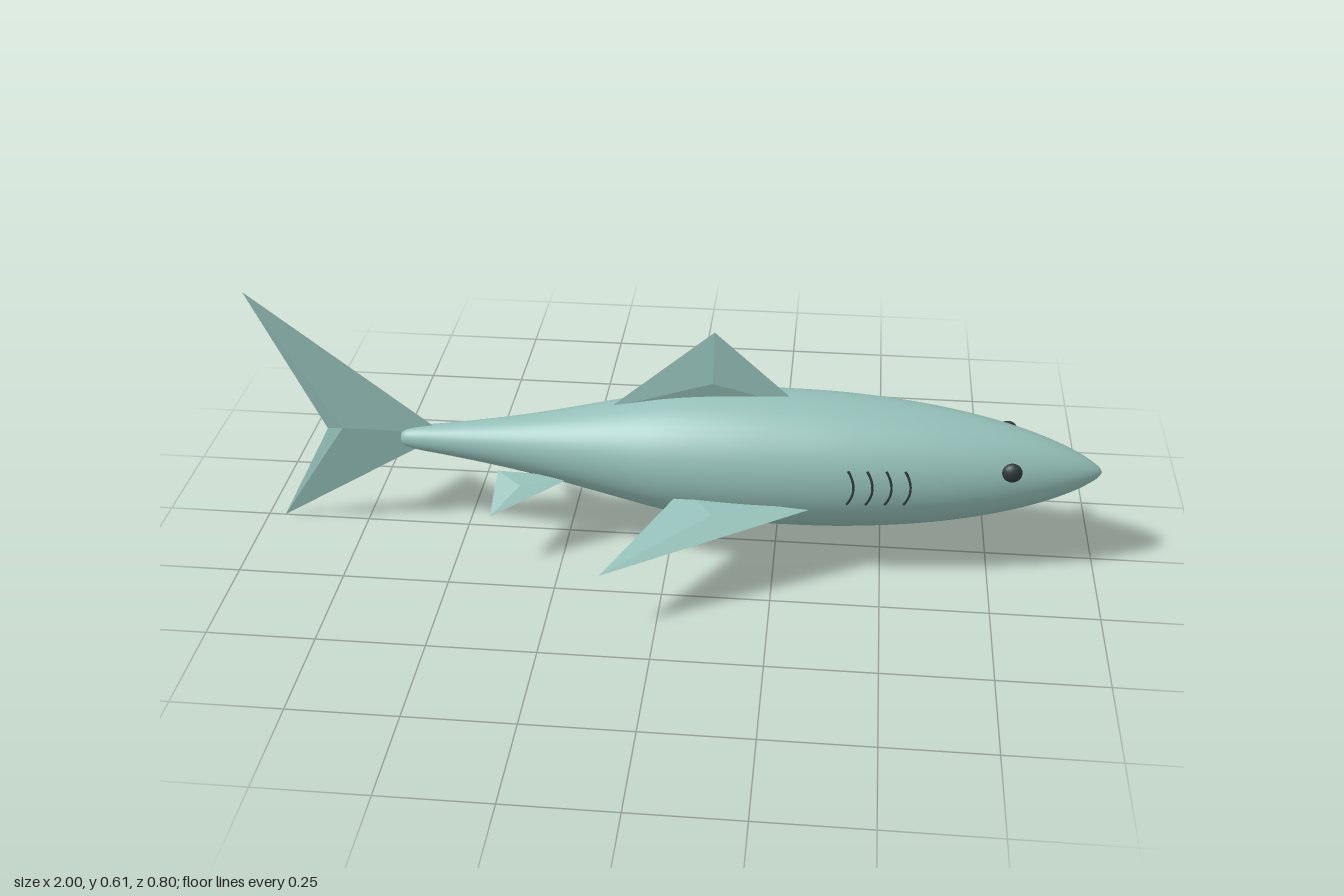
import * as THREE from 'three';

const AXIS_Y = 0.24;
const V = (x, y, z) => new THREE.Vector3(x, y, z);

// Body radius along its length, as (radius, x)
const profile = new THREE.SplineCurve([
  [0, -0.652], [0.018, -0.645], [0.029, -0.61], [0.04, -0.53], [0.06, -0.4], [0.083, -0.28],
  [0.116, -0.13], [0.143, 0], [0.157, 0.14], [0.16, 0.27], [0.156, 0.42], [0.141, 0.58],
  [0.117, 0.72], [0.085, 0.84], [0.05, 0.93], [0.018, 0.985], [0, 1],
].map(([r, x]) => new THREE.Vector2(r, x))).getPoints(80);
profile.forEach((p) => { p.x = Math.max(p.x, 0); });

function radiusAt(x) {
  const i = profile.findIndex((p) => p.y >= x);
  const a = profile[i - 1], b = profile[i];
  return THREE.MathUtils.mapLinear(x, a.y, b.y, a.x, b.x);
}

// Flat outline raised to a ridge point on both faces
function finGeometry(outline, centre, halfThickness) {
  const normal = V(0, 0, 0);
  outline.forEach((p, i) => {
    normal.add(p.clone().cross(outline[(i + 1) % outline.length]));
  });
  normal.normalize();
  const tris = [];
  for (const side of [1, -1]) {
    const apex = centre.clone().addScaledVector(normal, side * halfThickness);
    outline.forEach((a, i) => {
      const b = outline[(i + 1) % outline.length];
      tris.push(...(side > 0 ? [a, b, apex] : [b, a, apex]));
    });
  }
  const geometry = new THREE.BufferGeometry().setFromPoints(tris);
  geometry.computeVertexNormals();
  return geometry;
}

export function createModel() {
  const skin = new THREE.MeshStandardMaterial({ color: 0x95c0b9 });
  skin.name = 'sea green skin';
  const dark = new THREE.MeshStandardMaterial({ color: 0x30393b });
  dark.name = 'dark grey';

  const model = new THREE.Group();
  model.name = 'shark';
  const add = (name, geometry, material) => {
    const mesh = new THREE.Mesh(geometry, material);
    mesh.name = name;
    model.add(mesh);
    return mesh;
  };

  // Body, turned around the x axis
  const body = new THREE.LatheGeometry(profile, 48);
  body.rotateZ(-Math.PI / 2);
  add('body', body, skin).position.y = AXIS_Y;

  // Upright fins
  add('dorsalFin', finGeometry(
    [V(-0.15, 0.345, 0), V(0.305, 0.37, 0), V(0.097, 0.556, 0)],
    V(0.095, 0.43, 0), 0.013), skin);
  add('tailFin', finGeometry(
    [V(-0.545, 0.253, 0), V(-1, 0.605, 0), V(-0.83, 0.252, 0), V(-0.96, 0, 0)],
    V(-0.79, 0.262, 0), 0.012), skin);

  // Paired parts
  for (const s of [1, -1]) {
    const side = s > 0 ? 'right' : 'left';
    add(`${side}PectoralFin`, finGeometry(
      [V(0.42, 0.197, 0.1 * s), V(0.036, 0.197, 0.1 * s), V(-0.123, 0.146, 0.402 * s)],
      V(0.11, 0.18, 0.2 * s), 0.015), skin);
    add(`${side}PelvicFin`, finGeometry(
      [V(-0.23, 0.185, 0.055 * s), V(-0.41, 0.192, 0.055 * s), V(-0.41, 0.138, 0.173 * s)],
      V(-0.35, 0.172, 0.094 * s), 0.008), skin);

    const eye = add(`${side}Eye`, new THREE.SphereGeometry(0.023, 20, 14), dark);
    eye.scale.z = 0.7;
    eye.position.set(0.785, 0.284, 0.099 * s);

    // Gill slits bowed towards the nose
    for (let i = 0; i < 4; i++) {
      const points = [];
      for (let k = 0; k <= 8; k++) {
        const t = k / 4 - 1;
        const x = 0.428 + i * 0.043 - 0.014 * t * t;
        const y = 0.253 - 0.042 * t;
        const z = Math.sqrt(radiusAt(x) ** 2 - (y - AXIS_Y) ** 2);
        points.push(V(x, y, s * z));
      }
      add(`${side}Gill${i + 1}`, new THREE.TubeGeometry(
        new THREE.CatmullRomCurve3(points), 16, 0.003, 6), dark);
    }
  }
  return model;
}
